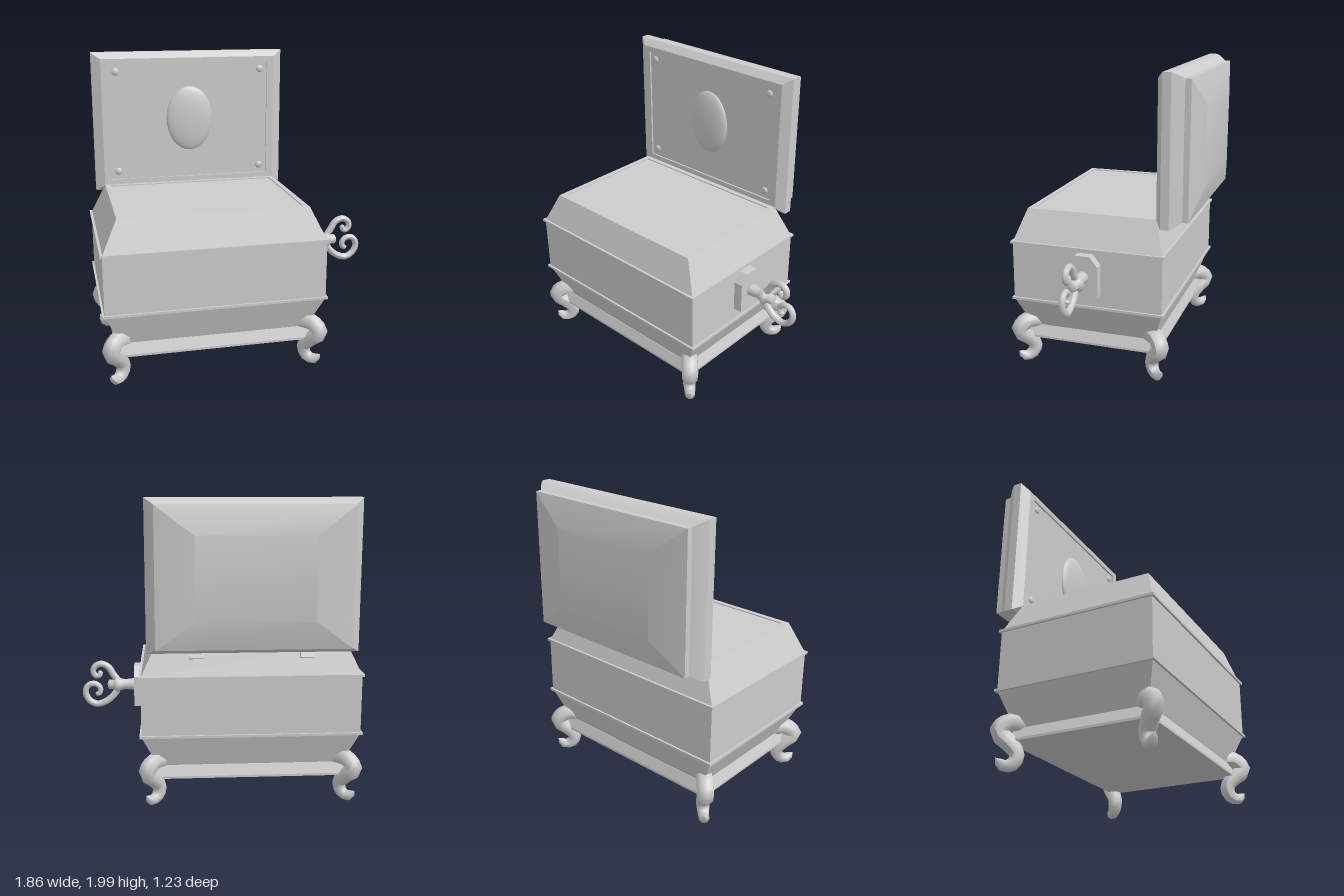
import * as THREE from 'three';
import { toCreasedNormals } from 'three/addons/utils/BufferGeometryUtils.js';

const material = new THREE.MeshStandardMaterial({ color: 0xcccccc });

function add(parent, name, geometry, x = 0, y = 0, z = 0) {
  const mesh = new THREE.Mesh(geometry, material);
  mesh.name = name;
  mesh.position.set(x, y, z);
  parent.add(mesh);
  return mesh;
}

// Closed solid through rectangular sections [halfX, height, halfZ], bottom to top
function rectLoft(sections) {
  const pos = [], idx = [];
  for (const [hx, y, hz] of sections) pos.push(hx, y, hz, hx, y, -hz, -hx, y, -hz, -hx, y, hz);
  for (let i = 0; i < sections.length - 1; i++) {
    for (let j = 0; j < 4; j++) {
      const a = i * 4 + j, b = i * 4 + (j + 1) % 4;
      idx.push(a, b, b + 4, a, b + 4, a + 4);
    }
  }
  const t = (sections.length - 1) * 4;
  idx.push(0, 2, 1, 0, 3, 2, t, t + 1, t + 2, t, t + 2, t + 3);
  const geo = new THREE.BufferGeometry();
  geo.setAttribute('position', new THREE.Float32BufferAttribute(pos, 3));
  geo.setIndex(idx);
  return toCreasedNormals(geo, 0.3);
}

// Tube whose radius follows a list of values, with rounded ends
function taperedTube(points, radii, segments, sides) {
  const curve = new THREE.CatmullRomCurve3(points.map(p => new THREE.Vector3(...p)));
  const geo = new THREE.TubeGeometry(curve, segments, 1, sides);
  const pos = geo.attributes.position, v = new THREE.Vector3();
  for (let i = 0; i <= segments; i++) {
    const c = curve.getPointAt(i / segments);
    const f = i / segments * (radii.length - 1), k = Math.min(Math.floor(f), radii.length - 2);
    let r = THREE.MathUtils.lerp(radii[k], radii[k + 1], f - k);
    const end = Math.min(i, segments - i);
    if (end === 0) r *= 0.02;
    else if (end === 1) r *= 0.8;
    for (let j = 0; j <= sides; j++) {
      const n = i * (sides + 1) + j;
      v.fromBufferAttribute(pos, n).sub(c).multiplyScalar(r).add(c);
      pos.setXYZ(n, v.x, v.y, v.z);
    }
  }
  geo.computeVertexNormals();
  return geo;
}

function createBox() {
  const box = new THREE.Group();
  box.name = 'box';
  add(box, 'body', rectLoft([
    [0.6, 0.25, 0.425], [0.71, 0.485, 0.505], [0.71, 0.875, 0.505],
    [0.61, 1.085, 0.435], [0.575, 1.085, 0.4], [0.575, 1.078, 0.4],
  ]));
  add(box, 'plinth', rectLoft([
    [0.64, 0.185, 0.46], [0.64, 0.2, 0.46], [0.61, 0.27, 0.435],
  ]));
  for (const y of [0.487, 0.875]) {
    add(box, 'trimBand', new THREE.BoxGeometry(1.446, 0.016, 1.036), 0, y, 0);
  }

  // Scrolled legs on the four corners, curling outward along the diagonals
  const path = [[0.54, 0.25], [0.58, 0.295], [0.64, 0.3], [0.68, 0.24], [0.635, 0.18],
    [0.6, 0.12], [0.612, 0.06], [0.65, 0.042], [0.685, 0.085]];
  const radii = [0.05, 0.055, 0.056, 0.056, 0.054, 0.05, 0.044, 0.036, 0.028];
  for (const sx of [-1, 1]) {
    for (const sz of [-1, 1]) {
      const points = path.map(([u, y]) => [sx * u, y, sz * (u - 0.185)]);
      add(box, 'leg', taperedTube(points, radii, 20, 8));
    }
  }

  // Hinges on the back slope
  for (const x of [-0.355, 0.355]) {
    add(box, 'hinge', new THREE.BoxGeometry(0.09, 0.09, 0.025), x, 1.035, -0.465).rotation.x = 0.4;
  }
  return box;
}

function createLid() {
  // Lofted along its thickness, then stood upright with its inside to the front
  const lid = new THREE.Group();
  lid.name = 'lid';
  const parts = {
    lidBack: [[0.37, -0.615, 0.26], [0.61, -0.568, 0.44], [0.61, -0.52, 0.44]],
    lidMoulding: [[0.61, -0.53, 0.44], [0.655, -0.485, 0.47], [0.67, -0.46, 0.48], [0.67, -0.405, 0.48],
      [0.61, -0.365, 0.438], [0.56, -0.365, 0.4], [0.56, -0.377, 0.4]],
  };
  for (const [name, sections] of Object.entries(parts)) {
    add(lid, name, rectLoft(sections)).rotation.x = Math.PI / 2;
  }
  add(lid, 'ovalMedallion', new THREE.SphereGeometry(1, 32, 16), 0, 0.015, -0.377).scale.set(0.163, 0.225, 0.04);
  for (const x of [-0.51, 0.51]) {
    for (const y of [-0.345, 0.35]) {
      add(lid, 'stud', new THREE.SphereGeometry(0.025, 16, 10), x, y, -0.377).scale.z = 0.5;
    }
  }
  return lid;
}

function createKey() {
  const key = new THREE.Group();
  key.name = 'windingKey';

  // Side plate with clipped upper corners
  const shape = new THREE.Shape([[-0.1, -0.13], [0.1, -0.13], [0.1, 0.075], [0.05, 0.14], [-0.05, 0.14], [-0.1, 0.075]]
    .map(p => new THREE.Vector2(...p)));
  const plate = new THREE.ExtrudeGeometry(shape, { depth: 0.07, bevelEnabled: false });
  add(key, 'keyPlate', plate, 0.5, 0, 0).rotation.y = Math.PI / 2;

  // Flared shaft and end boss, turned about the x axis
  const profile = [[0, 0], [0.045, 0], [0.04, 0.03], [0.035, 0.08], [0.042, 0.11], [0.058, 0.135], [0.042, 0.15],
    [0.033, 0.165], [0.033, 0.19], [0.022, 0.2], [0, 0.2]].map(p => new THREE.Vector2(...p));
  add(key, 'keyShaft', new THREE.LatheGeometry(profile, 16), 0.555, 0, 0).rotation.z = -Math.PI / 2;

  // Two unequal scrolls
  const scrolls = {
    upperScroll: [[0.68, 0.02], [0.715, 0.07], [0.75, 0.125], [0.8, 0.147], [0.845, 0.125], [0.852, 0.085],
      [0.827, 0.06], [0.803, 0.077], [0.822, 0.092]],
    lowerScroll: [[0.68, -0.02], [0.715, -0.075], [0.77, -0.12], [0.835, -0.138], [0.89, -0.105], [0.91, -0.045],
      [0.885, 0], [0.84, 0.005], [0.808, -0.025], [0.815, -0.063], [0.845, -0.063]],
  };
  for (const [name, path] of Object.entries(scrolls)) {
    add(key, name, taperedTube(path.map(([x, y]) => [x, y, 0]), [0.024, 0.023, 0.022, 0.02, 0.018], 48, 10));
  }
  return key;
}

export function createModel() {
  const model = new THREE.Group();
  model.name = 'musicBox';
  const box = createBox(), lid = createLid(), key = createKey();
  box.position.set(-0.2, 0, 0.07);
  lid.position.set(-0.2, 1.52, 0);
  key.position.set(0, 0.71, 0.07);
  model.add(box, lid, key);
  return model;
}
